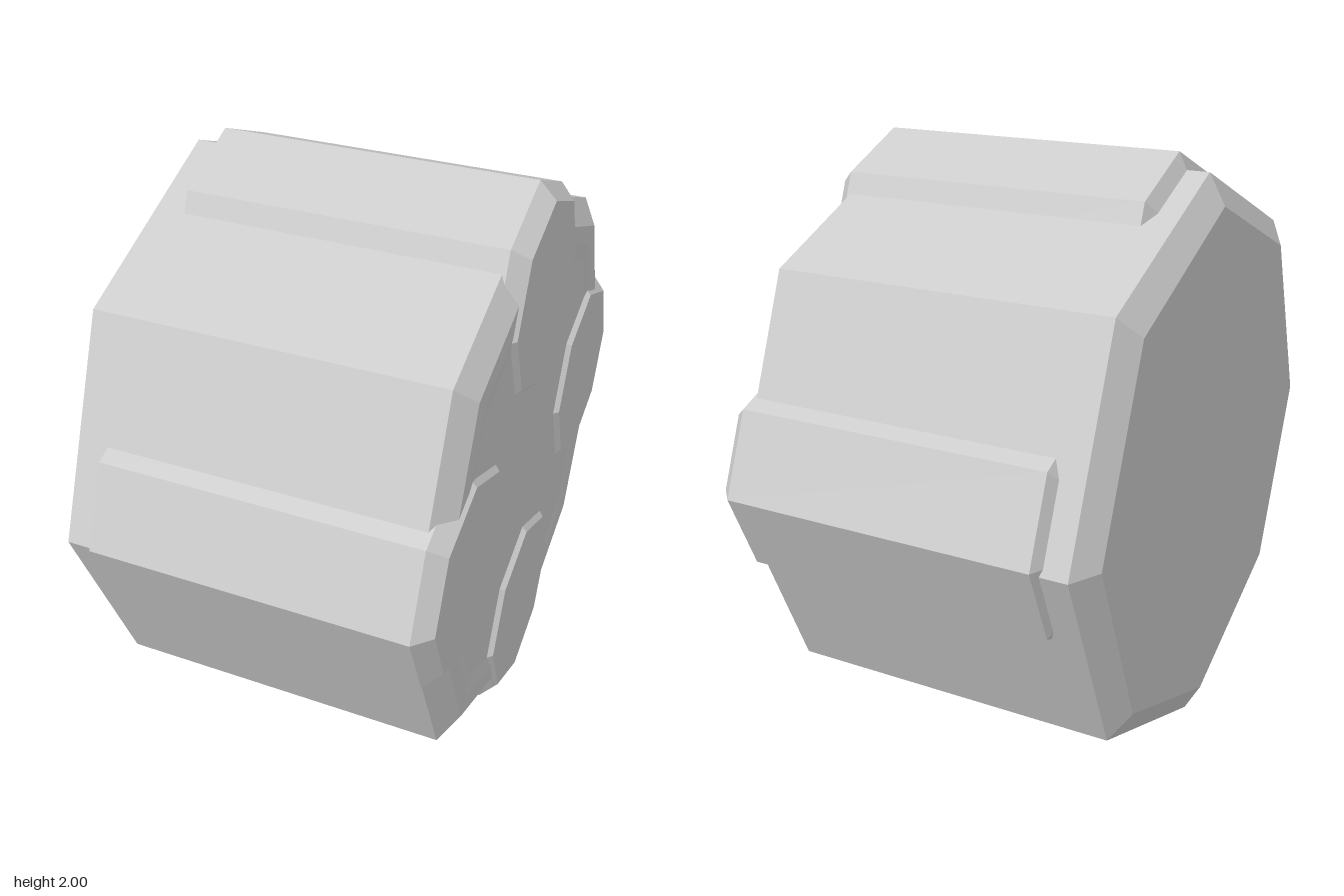
import * as THREE from 'three';

const material = new THREE.MeshStandardMaterial({ color: 0xcccccc, flatShading: true });

// Eight-sided turned solid lying along x; profile is [radius, x] from left to right
function octagonSolid(name, profile, y, z) {
  const points = profile.map(([r, x]) => new THREE.Vector2(r, x));
  const geometry = new THREE.LatheGeometry(points, 8);
  geometry.rotateZ(-Math.PI / 2);
  const mesh = new THREE.Mesh(geometry, material);
  mesh.name = name;
  mesh.position.set(0, y, z);
  return mesh;
}

export function createModel() {
  const model = new THREE.Group();
  model.name = 'cylinderDrum';

  // Main drum: chamfered ends, with a very shallow dish on the +x face
  model.add(octagonSolid('drumBody', [
    [0, -0.635], [0.865, -0.635], [0.966, -0.58], [0.966, 0.562],
    [0.87, 0.618], [0.8, 0.618], [0.74, 0.613], [0, 0.613],
  ], 0.978, 0));

  // Four chamber rods bulging out of the drum
  const rodProfile = [
    [0, -0.505], [0.316, -0.505], [0.372, -0.478],
    [0.372, 0.575], [0.315, 0.63], [0, 0.63],
  ];
  for (let i = 0; i < 4; i++) {
    const a = (i * Math.PI) / 2;
    model.add(octagonSolid(`chamberRod${i + 1}`, rodProfile,
      1 + 0.628 * Math.cos(a), 0.628 * Math.sin(a)));
  }
  return model;
}
